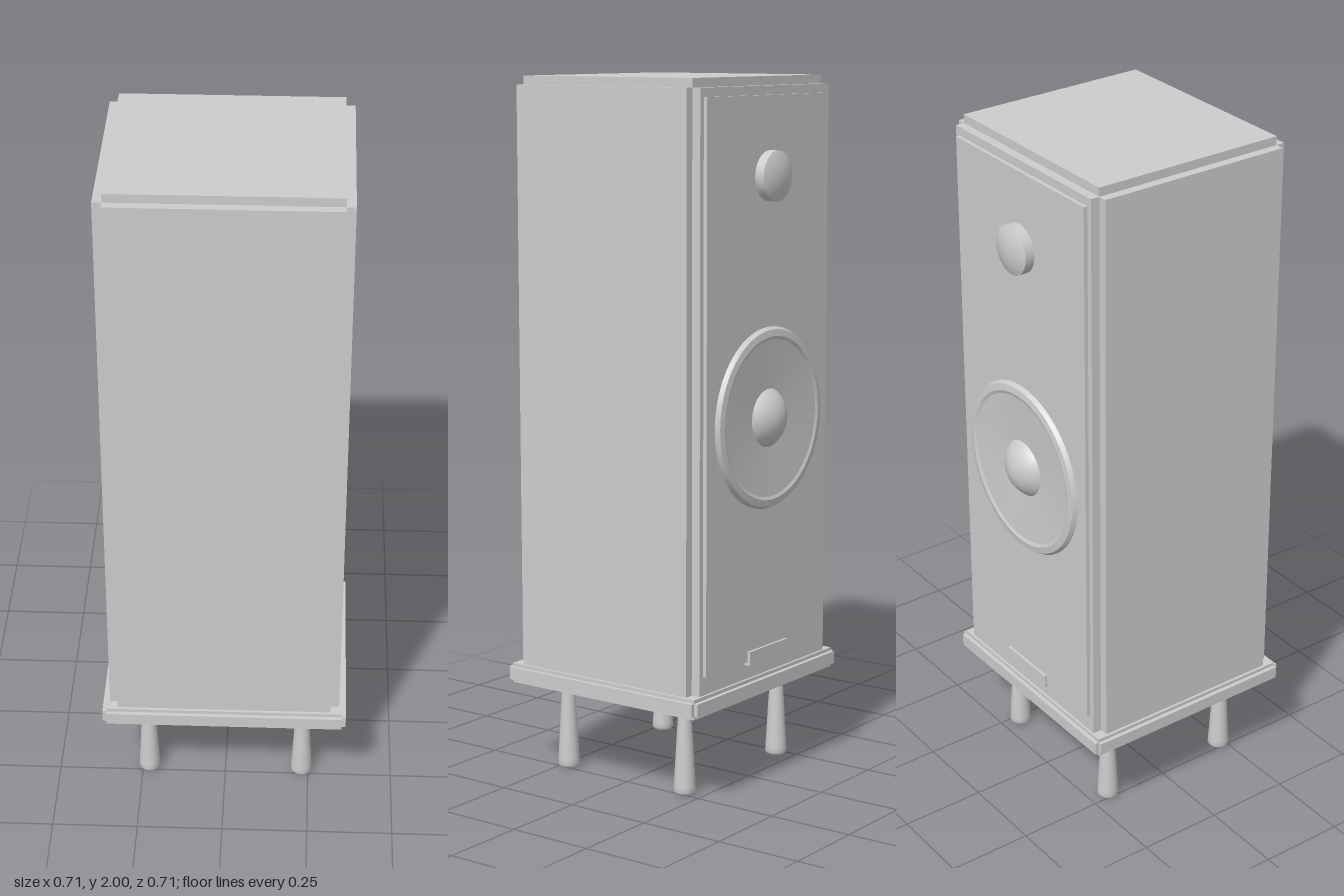
import * as THREE from 'three';

export function createModel() {
  const group = new THREE.Group();
  const grey = new THREE.MeshStandardMaterial({ color: 0xcccccc });
  grey.name = 'light grey';

  const add = (name, geometry, parent = group) => {
    const mesh = new THREE.Mesh(geometry, grey);
    mesh.name = name;
    parent.add(mesh);
    return mesh;
  };

  // Box given by its limits
  const box = (name, [x0, x1], [y0, y1], [z0, z1], parent) =>
    add(name, new THREE.BoxGeometry(x1 - x0, y1 - y0, z1 - z0), parent)
      .position.set((x0 + x1) / 2, (y0 + y1) / 2, (z0 + z1) / 2);

  // Block with a square notch along every edge: three crossing boxes
  const notchedBlock = (name, w, [y0, y1], [z0, z1], n, m) => {
    const part = new THREE.Group();
    part.name = name;
    const wide = [-w, w], narrow = [-w + n, w - n];
    const tall = [y0, y1], low = [y0 + m, y1 - m];
    const deep = [z0, z1], shallow = [z0 + n, z1 - n];
    box(name + 'Sides', wide, low, shallow, part);
    box(name + 'TopBottom', narrow, tall, shallow, part);
    box(name + 'FrontBack', narrow, low, deep, part);
    group.add(part);
  };

  // Lathe turned to point along -z; profile is [radius, height]
  const turned = (name, profile, y, z) => {
    const points = profile.map(([r, h]) => new THREE.Vector2(r, h));
    const mesh = add(name, new THREE.LatheGeometry(points, 48));
    mesh.rotation.x = -Math.PI / 2;
    mesh.position.set(0, y, z);
  };

  // Spherical cap profile from rim radius r at height h0 up by rise
  const cap = (r, h0, rise, steps = 10) => {
    const R = (r * r + rise * rise) / (2 * rise);
    const a = Math.asin(r / R);
    return Array.from({ length: steps + 1 }, (_, i) => {
      const t = a * (1 - i / steps);
      return [R * Math.sin(t), h0 + rise - R + R * Math.cos(t)];
    });
  };

  // Cabinet and plinth
  notchedBlock('cabinet', 0.337, [0.29, 2.0], [-0.299, 0.333], 0.026, 0.025);
  notchedBlock('plinth', 0.357, [0.26, 0.317], [-0.318, 0.354], 0.012, 0.01);

  // Baffle and the small plate at its lower edge
  box('baffle', [-0.295, 0.295], [0.37, 1.95], [-0.31, -0.29]);
  box('lowerPlate', [-0.095, 0.095], [0.36, 0.4], [-0.318, -0.29]);

  // Woofer: chamfered ring, shallow cone, dust cap
  turned('wooferRing', [[0.257, 0], [0.257, 0.002], [0.25, 0.013]], 1.055, -0.31);
  turned('wooferRingFace', [[0.25, 0.013], [0.231, 0.016]], 1.055, -0.31);
  turned('wooferRingInside', [[0.231, 0.016], [0.222, 0.012]], 1.055, -0.31);
  turned('wooferCone', [[0.222, 0.012], [0.075, 0.002]], 1.055, -0.31);
  turned('wooferDustCap', cap(0.083, 0.002, 0.043), 1.055, -0.31);

  // Tweeter: short barrel with a dome
  turned('tweeterBarrel', [[0.07, 0], [0.07, 0.028]], 1.73, -0.31);
  turned('tweeterDome', cap(0.07, 0.028, 0.016), 1.73, -0.31);

  // Four flared feet
  const footProfile = [[0, 0], [0.027, 0], [0.032, 0.008], [0.031, 0.025], [0.024, 0.15], [0.017, 0.265]]
    .map(([r, h]) => new THREE.Vector2(r, h));
  const footGeometry = new THREE.LatheGeometry(footProfile, 24);
  for (const x of [-0.23, 0.23]) {
    for (const z of [-0.19, 0.23]) add('foot', footGeometry).position.set(x, 0, z);
  }

  return group;
}
